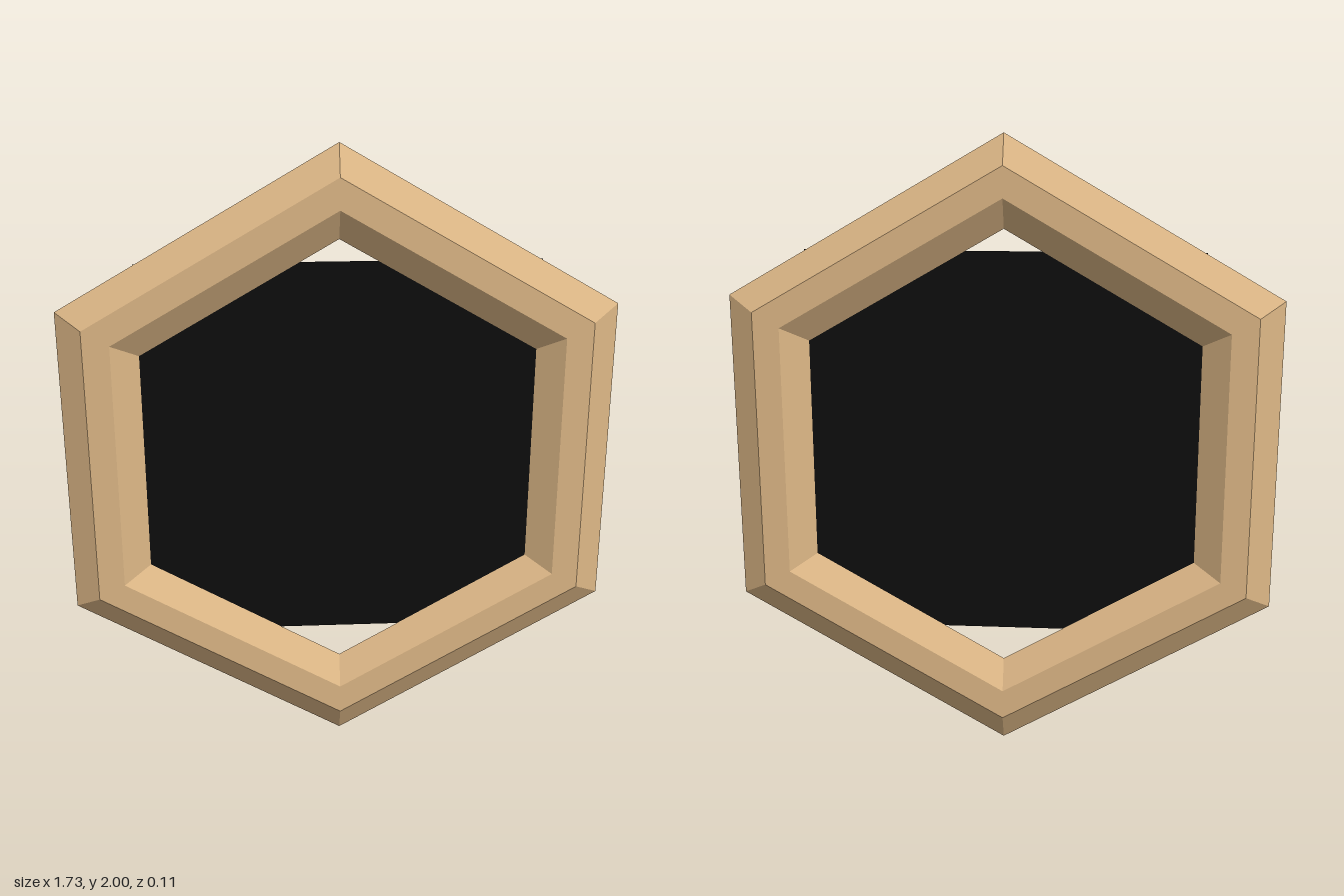
import * as THREE from 'three';

const wood = new THREE.MeshStandardMaterial({ color: 0xdeb887, flatShading: true });
wood.name = 'light wood';
const black = new THREE.MeshStandardMaterial({ color: 0x0d0d0d, side: THREE.DoubleSide });
black.name = 'black';

export function createModel() {
  const group = new THREE.Group();
  group.name = 'hexagonalFrame';

  // Bevelled hexagonal frame: six-sided cross-section (radius, depth) swept in six steps
  const d = 0.053;
  const profile = [
    [1, 0], [0.906, d], [0.809, d], [0.713, 0], [0.809, -d], [0.906, -d], [1, 0],
  ].map(([r, z]) => new THREE.Vector2(r, z));
  const ring = new THREE.LatheGeometry(profile, 6);
  ring.rotateX(-Math.PI / 2); // corner points straight up
  const frame = new THREE.Mesh(ring, wood);
  frame.name = 'frame';
  frame.position.y = 1;
  group.add(frame);

  // Thin square panel in the middle plane, slightly above centre
  const panel = new THREE.Mesh(new THREE.PlaneGeometry(1.245, 1.245), black);
  panel.name = 'panel';
  panel.position.y = 1.022;
  group.add(panel);

  return group;
}
